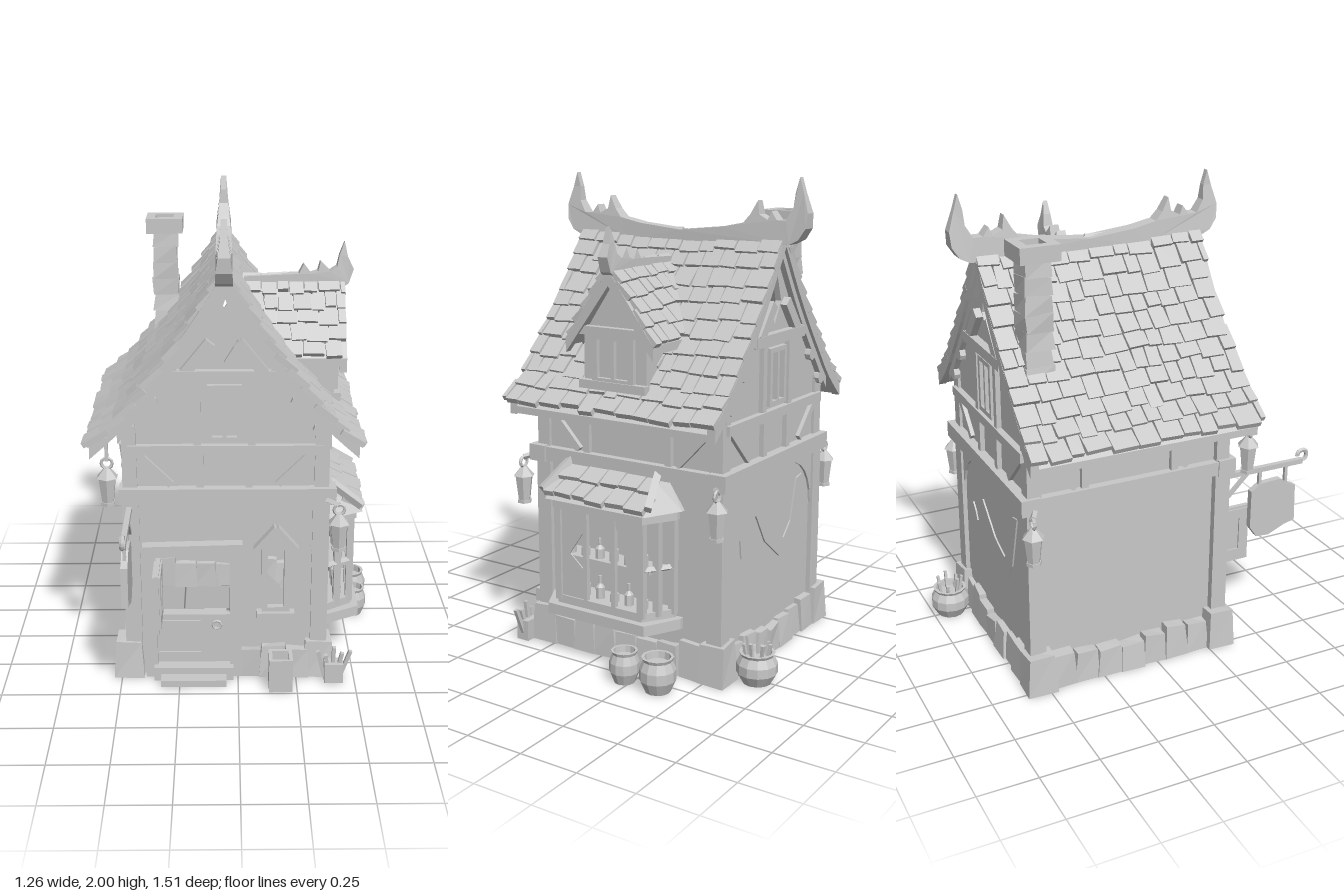
import * as THREE from 'three';
import { mergeGeometries } from 'three/addons/utils/BufferGeometryUtils.js';

const V = (x, y, z) => new THREE.Vector3(x, y, z);
const CX = -0.055, CZ = -0.115;          // house axis
const gray = new THREE.MeshStandardMaterial({ color: 0xc8c8c8, flatShading: true });
gray.name = 'plain gray';
let seed = 7;
const rnd = (a = 0, b = 1) => { seed = (seed * 16807) % 2147483647; return a + (b - a) * seed / 2147483647; };

export function createModel() {
  const root = new THREE.Group();
  root.name = 'cottage';
  const add = (name, geo, x = 0, y = 0, z = 0, parent = root) => {
    const m = new THREE.Mesh(geo, gray);
    m.name = name; m.position.set(x, y, z); parent.add(m);
    return m;
  };
  const box = (name, x0, x1, y0, y1, z0, z1, parent) => add(name,
    new THREE.BoxGeometry(x1 - x0, y1 - y0, z1 - z0), (x0 + x1) / 2, (y0 + y1) / 2, (z0 + z1) / 2, parent);
  // square timber between two points
  const beam = (name, a, b, w = 0.04, d = w) => {
    const m = add(name, new THREE.BoxGeometry(w, a.distanceTo(b), d));
    m.position.copy(a).add(b).multiplyScalar(0.5);
    m.quaternion.setFromUnitVectors(V(0, 1, 0), b.clone().sub(a).normalize());
    return m;
  };
  const extrude = (pts, depth, holes = []) => {
    const path = (p) => p.map(([x, y]) => new THREE.Vector2(x, y));
    const s = new THREE.Shape(path(pts));
    for (const h of holes) s.holes.push(new THREE.Path(path(h)));
    return new THREE.ExtrudeGeometry(s, { depth, bevelEnabled: false });
  };
  const rect = (x0, x1, y0, y1) => [[x0, y0], [x1, y0], [x1, y1], [x0, y1]];
  // box whose corners are shifted a little and whose top is narrower
  const stone = (w, h, d, x, y, z, taper = 0.86) => {
    const g = new THREE.BoxGeometry(w, h, d), p = g.attributes.position, j = {};
    for (let i = 0; i < p.count; i++) {
      const k = [p.getX(i) > 0, p.getY(i) > 0, p.getZ(i) > 0].join();
      j[k] ??= [rnd(-1, 1), rnd(-1, 1)];
      const t = p.getY(i) > 0 ? taper : 1;
      p.setXYZ(i, p.getX(i) * t + j[k][0] * 0.006, p.getY(i) + (t < 1 ? j[k][1] * 0.008 : 0), p.getZ(i) * t + j[k][1] * 0.006);
    }
    return g.translate(x, y, z);
  };

  // ---- foundation: stone ring with corner blocks and a gap for the door
  const stones = [];
  for (const x of [-0.47, 0.345]) for (const z of [-0.535, 0.305]) stones.push(stone(0.125, 0.17, 0.125, x, 0.085, z));
  for (let i = 0; i < 7; i++) {
    const h = rnd(0.11, 0.155), z = -0.43 + i * 0.105, x = -0.35 + i * 0.1, o = rnd(-0.008, 0.008);
    stones.push(stone(0.1, h, 0.11, -0.46 + o, h / 2, z), stone(0.1, h, 0.11, 0.35 + o, h / 2, z), stone(0.11, h, 0.1, x, h / 2, -0.535 + o));
    if (x > 0.02) stones.push(stone(0.11, h, 0.1, x, h / 2, 0.315 + o));
  }
  add('foundationStones', mergeGeometries(stones));

  // ---- lower walls
  add('frontWall', extrude([[-0.45, 0], [-0.36, 0], [-0.36, 0.58], [-0.02, 0.58], [-0.02, 0], [0.36, 0], [0.36, 0.84], [-0.45, 0.84]], 0.03,
    [[[0.12, 0.32], [0.2, 0.32], [0.2, 0.6], [0.16, 0.65], [0.12, 0.6]]]), 0, 0, 0.295);
  box('backWall', -0.45, 0.36, 0.02, 0.84, -0.55, -0.52);
  box('leftWall', -0.45, -0.42, 0.02, 1.17, -0.55, 0.325);
  box('rightWall', 0.33, 0.36, 0.02, 1.17, -0.55, 0.325);
  for (const x of [-0.445, 0.345]) for (const z of [-0.535, 0.31]) {
    box('cornerPost', x - 0.035, x + 0.035, 0.15, 0.82, z - 0.035, z + 0.035);
    box('upperCornerPost', x - 0.03, x + 0.03, 0.87, 1.14, z - 0.03, z + 0.03);
  }
  for (const z of [0.325, -0.555]) box('floorBeam', -0.49, 0.405, 0.81, 0.88, z - 0.04, z + 0.04);
  for (const x of [-0.45, 0.36]) box('sideFloorBeam', x - 0.035, x + 0.035, 0.815, 0.875, -0.59, 0.36);
  // curved corner braces under the floor beams
  const arc = [[0, 0]];
  for (let i = 0; i <= 6; i++) { const a = i * Math.PI / 12; arc.push([0.2 - 0.2 * Math.cos(a), -0.25 + 0.22 * Math.sin(a)]); }
  arc.push([0.2, 0]);
  for (const z of [0.315, -0.56]) for (const s of [1, -1]) {
    add('curvedBrace', extrude(arc.map(([x, y]) => [x * s, y]), 0.02), s > 0 ? -0.41 : 0.31, 0.82, z);
  }

  // ---- roof curve: distance from ridge and height
  const curve = new THREE.CatmullRomCurve3([[0, 1.79], [0.12, 1.6], [0.23, 1.445], [0.34, 1.305], [0.42, 1.205], [0.545, 1.09]].map(([d, y]) => V(d, y, 0)));
  const N = 12, prof = [...Array(N + 1).keys()].map((i) => curve.getPointAt(i / N));
  const strip = (off, thick, n = N) => {
    const top = [...prof.slice(1, n + 1).reverse().map((p) => [-p.x, p.y]), ...prof.slice(0, n + 1).map((p) => [p.x, p.y])];
    return [...top.map(([x, y]) => [x, y - off - thick]), ...top.reverse().map(([x, y]) => [x, y - off])];
  };
  const roofX = (y) => {                 // x of the right slope at a height
    let i = 1; while (i < N && prof[i].y > y) i++;
    const a = prof[i - 1], b = prof[i];
    return CX + a.x + (b.x - a.x) * (a.y - y) / (a.y - b.y);
  };
  add('roofDeck', extrude(strip(0.03, 0.03), 0.95), CX, 0, -0.58);

  // ---- shingles laid in rows over a slope
  const shingles = (name, rows, at, axis, range, len, width) => {
    const list = [];
    for (let r = 0; r < rows; r++) {
      const { p, t } = at((r + 0.5) / rows), n = axis.clone().cross(t), a = axis.clone();
      if (n.y < 0) { n.negate(); a.negate(); }
      const [c0, c1] = range(p, (r + 0.5) / rows);
      let c = c0;
      while (c < c1 - 0.015) {
        const w = Math.min(rnd(0.65, 1.3) * width, c1 - c + 0.006), tilt = rnd(0.12, 0.22);
        const T = t.clone().multiplyScalar(Math.cos(tilt)).addScaledVector(n, Math.sin(tilt));
        const q = p.clone().addScaledVector(axis, c + w / 2).addScaledVector(t, rnd(-0.012, 0.012));
        q.y -= name === 'roofShingles' ? 0.025 * (1 - ((q.z - CZ) / 0.49) ** 2) * (1 - r / rows) : 0;
        const g = new THREE.BoxGeometry(len, 0.024, w - 0.006).rotateY(rnd(-0.07, 0.07));
        list.push(g.applyMatrix4(new THREE.Matrix4().makeBasis(T, a.clone().cross(T), a).setPosition(q)));
        c += w;
      }
    }
    add(name, mergeGeometries(list));
  };
  for (const s of [1, -1]) shingles('roofShingles', 11, (u) => {
    const p = curve.getPointAt(u), t = curve.getTangentAt(u);
    return { p: V(CX + s * p.x, p.y, 0), t: V(s * t.x, t.y, 0) };
  }, V(0, 0, 1), (p, u) => [-0.6, 0.385 + 0.035 * u * u], 0.108, 0.088);

  // ---- gables, bargeboards and timbers, front and back
  const under = strip(0.06, 0.01).slice(N * 2 + 1).filter(([x]) => Math.abs(x) < 0.4);
  for (const s of [1, -1]) {
    const z = s > 0 ? 0.31 : -0.54, f = (d) => z + s * d;
    add('gableWall', extrude([[-0.395, 0.84], [0.405, 0.84], ...under], 0.025,
      [[[0, 1.41], [0.055, 1.5], [0.005, 1.67], [-0.05, 1.5]]]), CX, 0, z - 0.0125);
    add('bargeboard', extrude(strip(0.0, 0.065), 0.035), CX, 0, f(s > 0 ? 0.065 : 0.04) - 0.0175);
    add('innerBargeboard', extrude(strip(0.06, 0.05, 10), 0.025), CX, 0, f(0.03) - 0.0125);
    for (const i of [5, 7, 9]) for (const m of [1, -1])
      add('bargeLobe', new THREE.CylinderGeometry(0.028, 0.028, 0.025, 8).rotateX(Math.PI / 2), CX + m * prof[i].x, prof[i].y - 0.115, f(0.03));
    beam('collarBeam', V(-0.26, 1.36, f(0.025)), V(0.15, 1.36, f(0.025)), 0.045);
    beam('sillBeam', V(-0.45, 1.045, f(0.02)), V(0.35, 1.045, f(0.02)), 0.04);
    for (const m of [1, -1]) {
      beam('gableStud', V(CX + m * 0.11, 1.05, f(0.018)), V(CX + m * 0.11, 1.34, f(0.018)), 0.03);
      beam('gableStud', V(CX + m * 0.1, 0.88, f(0.018)), V(CX + m * 0.1, 1.03, f(0.018)), 0.03);
      beam('gableBrace', V(CX + m * 0.22, 0.89, f(0.015)), V(CX + m * 0.36, 1.03, f(0.015)), 0.03);
      beam('kingBrace', V(CX + m * 0.16, 1.37, f(0.03)), V(CX + m * 0.055, 1.5, f(0.03)), 0.045, 0.03);
    }
    add('gableWindowFrame', extrude(rect(-0.07, 0.07, 1.08, 1.32), 0.03,
      [rect(-0.05, -0.008, 1.1, 1.3), rect(0.008, 0.05, 1.1, 1.3)]), CX, 0, f(0.02) - 0.015);
  }
  // side timbers of the upper floor
  for (const x of [-0.455, 0.365]) {
    beam('wallPlate', V(x, 1.06, -0.55), V(x, 1.06, 0.33), 0.035);
    for (const m of [1, -1]) {
      beam('sideStud', V(x, 0.87, CZ + m * 0.2), V(x, 1.06, CZ + m * 0.2), 0.03);
      beam('sideBrace', V(x, 0.88, CZ + m * 0.24), V(x, 1.05, CZ + m * 0.4), 0.03);
    }
  }

  // ---- ridge with flame-shaped ends
  const half = [[0.2, 1.795], [0.3, 1.815], [0.33, 1.85], [0.36, 1.905], [0.37, 1.85], [0.41, 1.83], [0.425, 1.865], [0.45, 1.83], [0.49, 1.83],
    [0.52, 1.88], [0.525, 1.94], [0.542, 2.0], [0.56, 1.94], [0.585, 1.86], [0.58, 1.8], [0.55, 1.755], [0.51, 1.735], [0.25, 1.72]];
  const taper = (g, y0, y1, d) => {      // thin the ridge toward its tips
    const p = g.translate(0, 0, -d / 2).attributes.position;
    for (let i = 0; i < p.count; i++) p.setZ(i, p.getZ(i) * (1 - 0.65 * THREE.MathUtils.clamp((p.getY(i) - y0) / (y1 - y0), 0, 1)));
    return g;
  };
  const ridge = [[0, 1.775], ...half, [0, 1.7], ...half.map(([h, y]) => [-h, y]).reverse()];
  add('ridge', taper(extrude(ridge, 0.07), 1.78, 1.95, 0.07).rotateY(-Math.PI / 2), CX, 0, CZ);

  // ---- dormer on the right slope
  const DZ = -0.085;
  const pent = [[-0.15, 1.17], [0.15, 1.17], [0.15, 1.38], [0, 1.6], [-0.15, 1.38]];
  add('dormerBody', extrude(pent, 0.36).rotateY(-Math.PI / 2), 0.41, 0, DZ);
  add('dormerWindowFrame', extrude(rect(-0.1, 0.1, 1.18, 1.39), 0.025,
    [rect(-0.075, -0.008, 1.21, 1.365), rect(0.008, 0.075, 1.21, 1.365)]).rotateY(-Math.PI / 2), 0.43, 0, DZ);
  beam('dormerSill', V(0.42, 1.18, DZ - 0.16), V(0.42, 1.18, DZ + 0.16), 0.035);
  beam('dormerTie', V(0.425, 1.4, DZ - 0.17), V(0.425, 1.4, DZ + 0.17), 0.035);
  const vee = [[-0.21, 1.33], [0, 1.61], [0.21, 1.33], [0.21, 1.365], [0, 1.65], [-0.21, 1.365]];
  add('dormerRoofDeck', extrude(vee, 0.33).rotateY(-Math.PI / 2), 0.44, 0, DZ);
  add('dormerBargeboard', extrude(vee.map(([z, y], i) => [z, y - (i < 3 ? 0.025 : 0)]), 0.03).rotateY(-Math.PI / 2), 0.455, 0, DZ);
  for (const s of [1, -1]) shingles('dormerShingles', 5, (u) => ({
    p: V(0, 1.665 - 0.29 * u, DZ + s * 0.205 * u), t: V(0, -0.29, s * 0.205).normalize(),
  }), V(1, 0, 0), (p) => [roofX(p.y) - 0.02, 0.45], 0.085, 0.075);
  const crest = [[0.03, 1.62], [0.43, 1.61], [0.47, 1.64], [0.49, 1.7], [0.465, 1.75], [0.45, 1.815], [0.43, 1.76], [0.42, 1.71], [0.39, 1.69],
    [0.35, 1.73], [0.34, 1.69], [0.31, 1.68], [0.28, 1.72], [0.26, 1.68], [0.03, 1.67]];
  add('dormerRidge', taper(extrude(crest, 0.05), 1.68, 1.82, 0.05), 0, 0, DZ);

  // ---- chimney of stacked stones
  const courses = [];
  for (let i = 0; i < 8; i++) courses.push(stone(rnd(0.1, 0.125), 0.075, rnd(0.105, 0.125), -0.315, 1.26 + i * 0.072, -0.455, 0.96));
  add('chimneyStack', mergeGeometries(courses));
  add('chimneyCap', extrude(rect(-0.08, 0.08, -0.083, 0.083), 0.065, [rect(-0.04, 0.04, -0.04, 0.04)]).rotateX(Math.PI / 2), -0.317, 1.855, -0.455);

  // ---- door, split in two leaves with the upper one swung open
  for (const x of [-0.37, -0.01]) box('doorPost', x - 0.025, x + 0.025, 0, 0.6, 0.3, 0.36);
  beam('doorLintel', V(-0.4, 0.6, 0.335), V(0.02, 0.61, 0.335), 0.05, 0.08);
  box('lowerDoorLeaf', -0.345, -0.035, 0.05, 0.29, 0.31, 0.335);
  for (const y of [0.1, 0.25]) box('doorStrap', -0.34, -0.16, y - 0.012, y + 0.012, 0.33, 0.343);
  box('doorLedge', -0.38, -0.05, 0.275, 0.3, 0.3, 0.355);
  add('doorKnob', new THREE.TorusGeometry(0.018, 0.006, 5, 8), -0.09, 0.245, 0.345);
  box('upperDoorLeaf', -0.345, -0.325, 0.3, 0.565, 0.34, 0.53);
  add('upperLeafFrame', extrude(rect(0.35, 0.52, 0.31, 0.555), 0.034, [rect(0.39, 0.48, 0.36, 0.51)]).rotateY(-Math.PI / 2), -0.318, 0, 0);
  box('doorStep', -0.36, -0.02, 0, 0.06, 0.26, 0.39);
  box('lowerStep', -0.33, -0.05, 0, 0.03, 0.38, 0.445);

  // ---- pointed front window with a broken pane
  add('frontWindowFrame', extrude([[0.1, 0.3], [0.22, 0.3], [0.22, 0.61], [0.16, 0.69], [0.1, 0.61]], 0.05,
    [[[0.125, 0.33], [0.195, 0.33], [0.195, 0.595], [0.16, 0.64], [0.125, 0.595]]]), 0, 0, 0.3);
  for (const s of [1, -1]) beam('windowHood', V(0.16 + s * 0.085, 0.6, 0.34), V(0.16, 0.7, 0.34), 0.025, 0.05);
  box('frontWindowSill', 0.08, 0.24, 0.28, 0.31, 0.3, 0.37);
  add('brokenPane', extrude([[0.125, 0.33], [0.195, 0.33], [0.195, 0.4], [0.125, 0.48]], 0.006), 0, 0, 0.315);

  // ---- bay window
  const plan = (e) => [[0.35, 0.23 + e], [0.38, 0.23 + e], [0.5 + e, 0.15 + e], [0.5 + e, -0.27 - e], [0.38, -0.35 - e], [0.35, -0.35 - e]];
  const slab = (name, e, y0, y1) => add(name, extrude(plan(e), y1 - y0).rotateX(Math.PI / 2), 0, y1, 0);
  slab('baySill', 0.03, 0.2, 0.245);
  slab('bayLowerFrame', 0, 0.24, 0.28);
  slab('bayHead', 0.012, 0.66, 0.72);
  const bayRoof = slab('bayRoof', 0.035, 0.7, 0.82).geometry, bp = bayRoof.attributes.position;
  for (let i = 0; i < bp.count; i++) if (bp.getY(i) > -0.05) bp.setXYZ(i, 0.35 + (bp.getX(i) - 0.35) * 0.2, 0, -0.06 + (bp.getZ(i) + 0.06) * 0.75);
  shingles('bayShingles', 2, (u) => ({ p: V(0.38 + 0.155 * u, 0.825 - 0.11 * u, 0), t: V(0.155, -0.11, 0).normalize() }),
    V(0, 0, 1), (p, u) => [-0.27 - 0.05 * u, 0.15 + 0.05 * u], 0.1, 0.085);
  for (const [z0, z1] of [[0.16, 0.2], [-0.27, -0.32]]) beam('bayRoofRib', V(0.38, 0.84, z0), V(0.53, 0.735, z1), 0.03);
  for (const [x, z] of [[0.375, 0.22], [0.375, -0.34], [0.49, 0.145], [0.49, -0.265], [0.434, 0.183], [0.434, -0.303]])
    box('bayPost', x - 0.015, x + 0.015, 0.26, 0.68, z - 0.015, z + 0.015);
  for (const z of [0.01, -0.13]) box('bayMullion', 0.48, 0.5, 0.26, 0.68, z - 0.01, z + 0.01);
  for (const [z0, z1] of [[0.22, 0.145], [-0.34, -0.265]]) beam('baySideRail', V(0.375, 0.46, z0), V(0.49, 0.46, z1), 0.02);
  box('bayShelf', 0.36, 0.475, 0.44, 0.455, -0.29, 0.17);
  for (const y of [0.28, 0.455]) for (let i = 0; i < 6; i++) {
    const h = rnd(0.05, 0.09), pts = [[0, 0], [0.02, 0], [0.02, h * 0.6], [0.007, h * 0.8], [0.007, h * 1.2], [0, h * 1.2]];
    add('bottle', new THREE.LatheGeometry(pts.map((p) => new THREE.Vector2(...p)), 7), 0.44, y, -0.24 + i * 0.072);
  }
  const shards = [[[0.14, 0.66], [0.14, 0.28], [0, 0.28], [0.01, 0.4], [0.09, 0.47], [0, 0.6], [0.02, 0.66]],
    [[-0.13, 0.66], [-0.26, 0.66], [-0.26, 0.3], [-0.2, 0.45]], [[0, 0.66], [-0.12, 0.66], [-0.12, 0.5]]];
  for (const s of shards) add('glassShard', extrude(s, 0.006).rotateY(-Math.PI / 2), 0.494, 0, 0);

  // ---- cracked plaster on the back wall
  const cracks = [[[0.08, 0.63], [0, 0.5], [-0.13, 0.4], [-0.2, 0.38], [-0.26, 0.47], [-0.33, 0.72], [-0.28, 0.71], [-0.23, 0.53], [-0.17, 0.47], [-0.06, 0.51]],
    [[0.21, 0.56], [0.2, 0.48], [0.16, 0.49], [0.18, 0.53]]];
  for (const c of cracks) add('plasterCrack', extrude(c, 0.009), 0, 0, -0.557);

  // ---- hanging lanterns
  for (const [x, y, z, dx] of [[-0.53, 0.83, 0.395, 0.08], [-0.53, 0.62, -0.565, 0.08], [0.415, 0.62, 0.39, -0.05], [0.415, 0.62, -0.565, -0.05]]) {
    const g = new THREE.Group(); g.name = 'lantern'; g.position.set(x, y, z); root.add(g);
    add('lanternBody', new THREE.CylinderGeometry(0.039, 0.026, 0.11, 6), 0, 0.065, 0, g);
    add('lanternBase', new THREE.CylinderGeometry(0.031, 0.031, 0.014, 6), 0, 0.007, 0, g);
    add('lanternCap', new THREE.CylinderGeometry(0.012, 0.047, 0.04, 6), 0, 0.14, 0, g);
    add('lanternRing', new THREE.TorusGeometry(0.022, 0.007, 5, 10), 0, 0.18, 0, g);
    if (y > 0.8) box('lanternHook', -0.007, 0.007, 0.19, 0.29, -0.007, 0.007, g);
    else beam('lanternArm', V(x, y + 0.2, z), V(x + dx, y + 0.21, z * 0.92), 0.018);
  }

  // ---- hanging sign
  beam('signArm', V(-0.45, 0.785, 0.33), V(-0.45, 0.785, 0.72), 0.022);
  add('signCurl', new THREE.TorusGeometry(0.024, 0.01, 5, 10, 4.7).rotateY(Math.PI / 2), -0.45, 0.81, 0.72);
  beam('signStay', V(-0.45, 0.68, 0.35), V(-0.45, 0.78, 0.45), 0.015);
  for (const z of [0.51, 0.64]) box('signChain', -0.457, -0.443, 0.69, 0.79, z - 0.007, z + 0.007);
  add('signBoard', extrude([[0.465, 0.52], [0.5, 0.47], [0.56, 0.465], [0.64, 0.5], [0.69, 0.51], [0.685, 0.68], [0.64, 0.7], [0.61, 0.725], [0.51, 0.72], [0.465, 0.69]], 0.028).rotateY(-Math.PI / 2), -0.436, 0, 0);

  // ---- pots, crates and sticks around the base
  const potShape = [[0, 0], [0.7, 0], [1, 0.35], [1, 0.65], [0.8, 0.9], [0.88, 1], [0.72, 1], [0.68, 0.8], [0, 0.8]];
  for (const [x, z, r, h] of [[0.55, -0.38, 0.075, 0.145], [0.55, -0.22, 0.062, 0.135], [0.26, -0.67, 0.085, 0.13]])
    add('pot', new THREE.LatheGeometry(potShape.map(([a, b]) => new THREE.Vector2(a * r, b * h)), 12), x, 0, z);
  for (let i = 0; i < 7; i++) {
    const a = i * 0.9, x = 0.26 + 0.035 * Math.cos(a), z = -0.67 + 0.035 * Math.sin(a);
    beam('stick', V(x, 0.05, z), V(x + 0.02 * Math.cos(a), rnd(0.16, 0.2), z + 0.02 * Math.sin(a)), 0.012);
  }
  add('crate', extrude(rect(-0.05, 0.05, -0.05, 0.05), 0.15, [rect(-0.035, 0.035, -0.035, 0.035)]).rotateX(Math.PI / 2), 0.18, 0.15, 0.44);
  box('crateBottom', 0.13, 0.23, 0, 0.08, 0.39, 0.49);
  box('plankBox', 0.37, 0.45, 0, 0.09, 0.36, 0.42);
  for (let i = 0; i < 5; i++) beam('plank', V(0.37 + i * 0.017, 0.02, 0.39), V(0.34 + i * 0.035, rnd(0.12, 0.17), 0.4), 0.016);
  return root;
}
